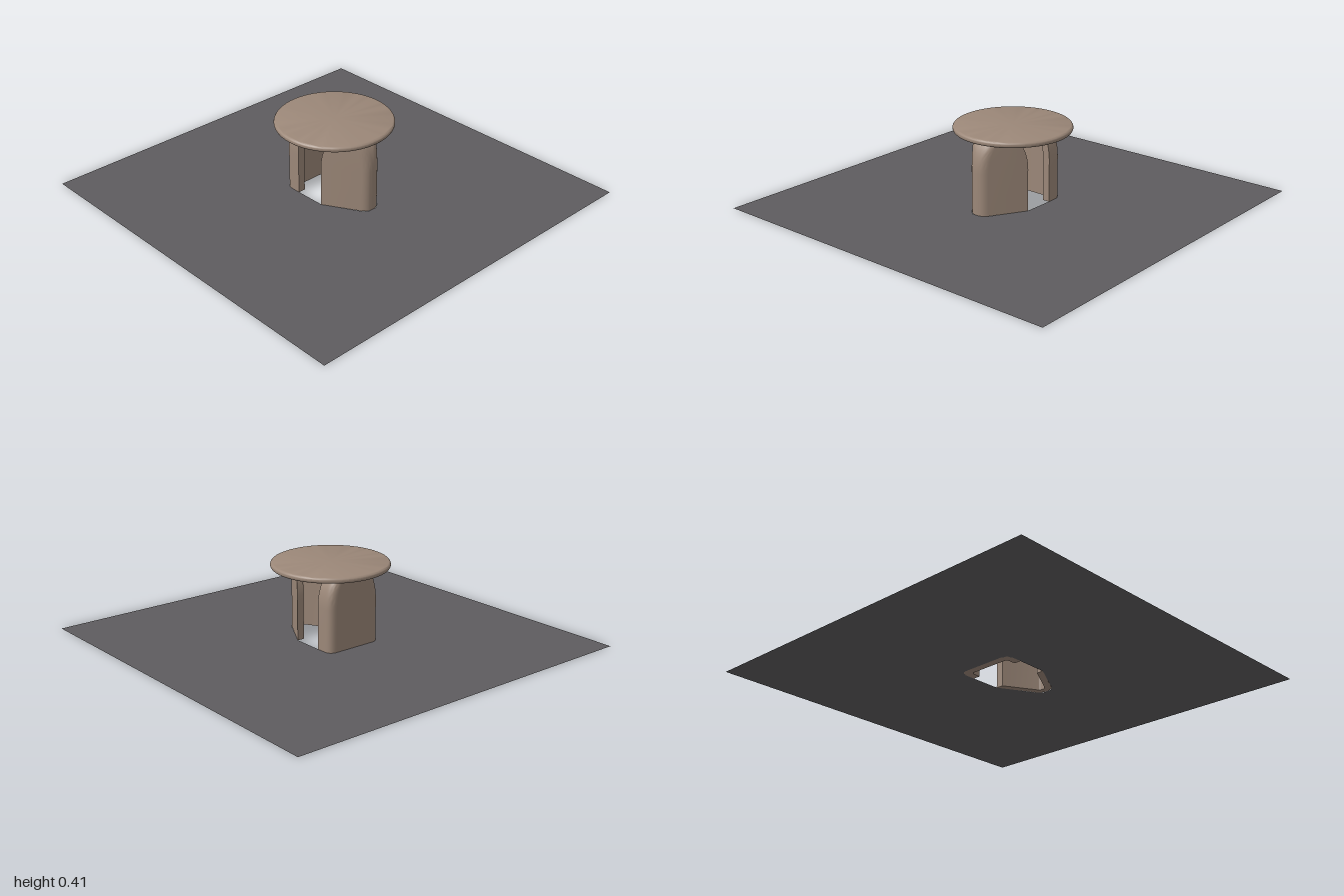
import * as THREE from 'three';
import { toCreasedNormals } from 'three/addons/utils/BufferGeometryUtils.js';

const V = (x, z) => new THREE.Vector2(x, z);

// Half path from the axis to the free end, with one rounded corner
function halfPath(start, corner, end, r) {
  const toward = (p) => corner.clone().add(p.clone().sub(corner).setLength(Math.min(r, p.distanceTo(corner) * 0.9)));
  const bend = new THREE.QuadraticBezierCurve(toward(start), corner, toward(end));
  return [start, ...bend.getPoints(8), end];
}

// Full path from the -x end to the +x end
function fullPath(half) {
  const mirrored = half.slice(1).reverse().map((p) => V(-p.x, p.y));
  return [...mirrored, ...half];
}

// Front leg: V-shaped shell, f = 0 at the base and 1 under the top
function frontSection(f) {
  const nose = 0.28 - 0.06 * f, end = 0.07 + 0.06 * f, t = 0.034;
  const wall = (z, d) => V((d - 0.5 * z) / 0.866, z);
  return [
    fullPath(halfPath(V(0, nose), wall(nose, 0.172), wall(end, 0.172), 0.035)),
    fullPath(halfPath(V(0, nose - t), wall(nose - t, 0.172 - t), wall(end, 0.172 - t), 0.015)),
  ];
}

// Back leg: shallow C-shaped shell
function backSection(f) {
  const w = 0.16 - 0.06 * f, t = 0.04;
  return [
    fullPath(halfPath(V(0, -0.19), V(w, -0.19), V(w, -0.095), 0.045)).reverse(),
    fullPath(halfPath(V(0, -0.19 + t), V(w - t, -0.19 + t), V(w - t, -0.095), 0.02)).reverse(),
  ];
}

// Loft a shell leg upward through its sections, straight then arched
function legGeometry(section) {
  const levels = [[0, 0]];
  const top = THREE.MathUtils.degToRad(75);
  for (let i = 0; i <= 10; i++) {
    const a = (top * i) / 10;
    levels.push([0.22 + 0.163 * Math.sin(a) / Math.sin(top), (1 - Math.cos(a)) / (1 - Math.cos(top))]);
  }
  const pos = [], index = [];
  let n = 0;
  for (const [y, f] of levels) {
    const [outer, inner] = section(f);
    const ring = [...outer, ...inner.reverse()];
    n = ring.length;
    for (const p of ring) pos.push(p.x, y, p.y);
  }
  const quad = (a, b, c, d) => index.push(a, b, c, a, c, d);
  for (let j = 0; j < levels.length - 1; j++) {
    for (let i = 0; i < n; i++) {
      const k = (i + 1) % n;
      quad(j * n + i, j * n + k, (j + 1) * n + k, (j + 1) * n + i);
    }
  }
  // end caps
  const last = (levels.length - 1) * n;
  for (let i = 0; i < n / 2 - 1; i++) {
    quad(last + i, last + i + 1, last + n - 2 - i, last + n - 1 - i);
    quad(n - 1 - i, n - 2 - i, i + 1, i);
  }
  const g = new THREE.BufferGeometry();
  g.setAttribute('position', new THREE.Float32BufferAttribute(pos, 3));
  g.setIndex(index);
  return toCreasedNormals(g, 0.6);
}

export function createModel() {
  const model = new THREE.Group();
  const clay = new THREE.MeshStandardMaterial({ color: 0x9b8778 });
  clay.name = 'warm clay';
  const slate = new THREE.MeshStandardMaterial({ color: 0x5e5c5f, side: THREE.DoubleSide });
  slate.name = 'slate grey';

  const add = (name, geometry, material) => {
    const mesh = new THREE.Mesh(geometry, material);
    mesh.name = name;
    model.add(mesh);
    return mesh;
  };

  // Floor sheet with an opening around the legs
  const floor = new THREE.Shape([V(-1, -1), V(1, -1), V(1, 1), V(-1, 1)]);
  const right = [V(0.025, 0.28), V(0.05, 0.26), V(0.157, 0.07), V(0.16, -0.145), V(0.147, -0.177), V(0.115, -0.19)];
  const left = right.map((p) => V(-p.x, p.y)).reverse();
  floor.holes.push(new THREE.Path([...right, ...left].map((p) => V(p.x, -p.y))));
  add('floor', new THREE.ShapeGeometry(floor).rotateX(-Math.PI / 2), slate);

  // Legs
  add('frontLeg', legGeometry(frontSection), clay);
  add('backLeg', legGeometry(backSection), clay);

  // Round top with a softened rim
  const profile = [V(0, 0.38)];
  for (let i = 0; i <= 10; i++) {
    const a = -Math.PI / 2 + (Math.PI * i) / 10;
    profile.push(V(0.289 + 0.015 * Math.cos(a), 0.395 + 0.015 * Math.sin(a)));
  }
  profile.push(V(0, 0.41));
  add('tableTop', toCreasedNormals(new THREE.LatheGeometry(profile, 64), 0.6), clay);

  return model;
}
